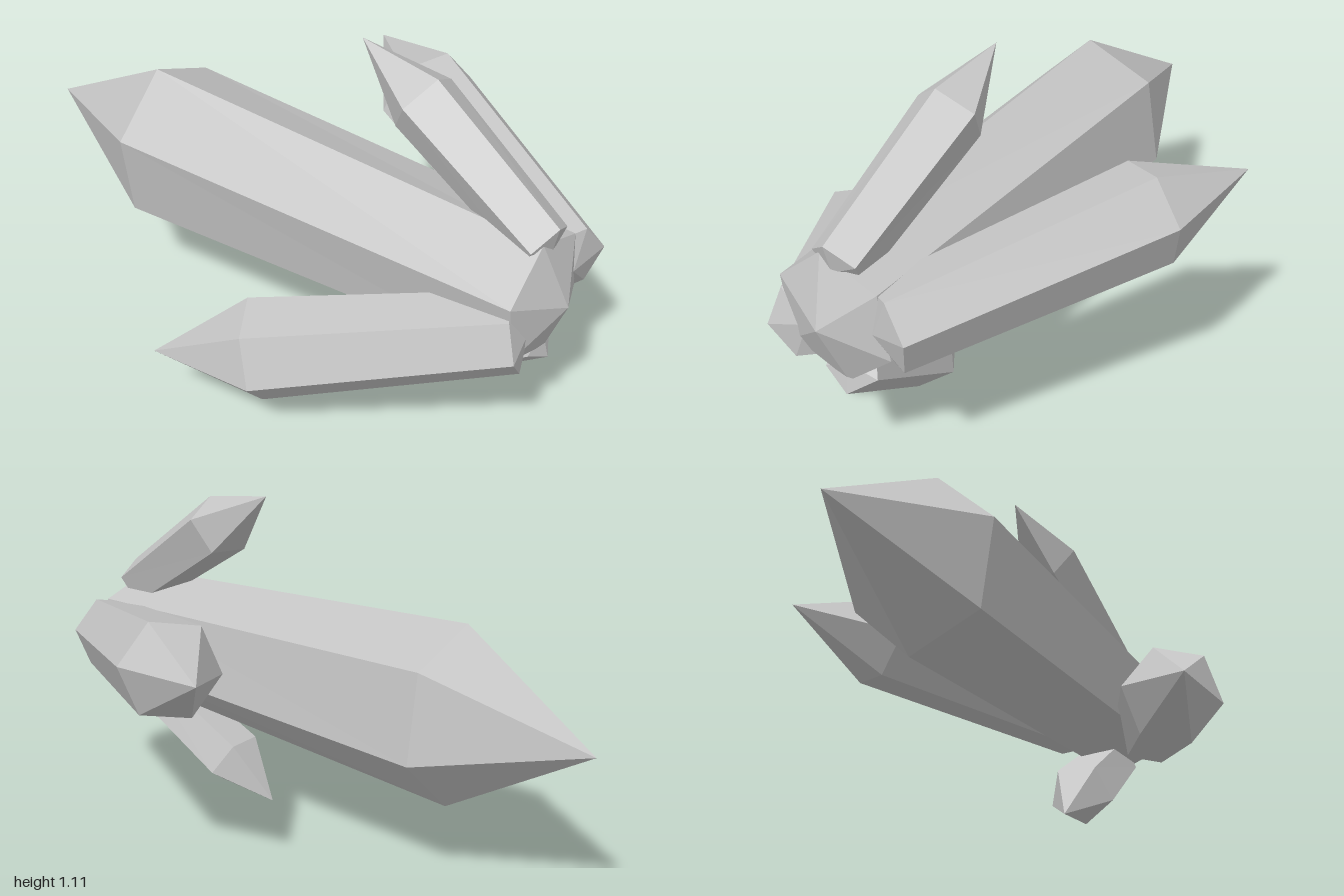
import * as THREE from 'three';

const V = (p) => new THREE.Vector3(...p);

// Faceted crystal: blunt base point, base ring, shoulder ring, long tip.
// "toward" points from the axis to the first corner; radii are [along it, across it].
function crystalGeometry({ sides, base, shoulder, tip, toward, baseR, shoulderR, cap, turn = 0 }) {
  const b = V(base), s = V(shoulder), t = V(tip);
  const axis = t.clone().sub(b).normalize();
  const u = V(toward);
  u.addScaledVector(axis, -u.dot(axis)).normalize();
  const v = axis.clone().cross(u);
  const ring = (c, [ru, rv]) => Array.from({ length: sides }, (_, i) => {
    const a = turn + (i / sides) * Math.PI * 2;
    return c.clone().addScaledVector(u, Math.cos(a) * ru).addScaledVector(v, Math.sin(a) * rv);
  });
  const lower = ring(b, baseR), upper = ring(s, shoulderR);
  const foot = b.clone().addScaledVector(axis, -cap);
  const points = [];
  for (let i = 0; i < sides; i++) {
    const j = (i + 1) % sides;
    points.push(foot, lower[j], lower[i]);
    points.push(lower[i], lower[j], upper[j], lower[i], upper[j], upper[i]);
    points.push(upper[i], upper[j], t);
  }
  const geometry = new THREE.BufferGeometry().setFromPoints(points);
  geometry.computeVertexNormals();
  return geometry;
}

const crystals = [
  { name: 'mainCrystal', sides: 6, base: [-0.05, 0.53, 0.92], shoulder: [-0.063, 0.527, -0.5],
    tip: [-0.05, 0.53, -1], toward: [0, 1, 0], turn: -Math.PI / 18,
    baseR: [0.207, 0.207], shoulderR: [0.285, 0.248], cap: 0.08 },
  { name: 'upperCrystal', sides: 5, base: [-0.04, 0.7, 0.9], shoulder: [0.01, 0.98, 0.44],
    tip: [0.015, 1.11, 0.22], toward: [-0.01, 0.095, 0.05],
    baseR: [0.09, 0.09], shoulderR: [0.108, 0.114], cap: 0.03 },
  { name: 'leftCrystal', sides: 6, base: [0.115, 0.545, 0.9], shoulder: [0.505, 0.665, 0.145],
    tip: [0.67, 0.72, -0.15], toward: [0.035, 0.15, 0.055],
    baseR: [0.13, 0.13], shoulderR: [0.163, 0.163], cap: 0.04 },
  { name: 'rightCrystal', sides: 6, base: [-0.165, 0.465, 0.9], shoulder: [-0.52, 0.295, 0.235],
    tip: [-0.667, 0.243, -0.04], toward: [-0.15, -0.03, 0.085],
    baseR: [0.125, 0.125], shoulderR: [0.16, 0.16], cap: 0.04 },
  { name: 'lowerCrystal', sides: 5, base: [-0.02, 0.365, 0.89], shoulder: [-0.08, 0.12, 0.49],
    tip: [-0.1, 0, 0.32], toward: [0.01, -0.085, 0.058],
    baseR: [0.09, 0.09], shoulderR: [0.105, 0.11], cap: 0.03 },
];

export function createModel() {
  const group = new THREE.Group();
  group.name = 'crystalCluster';
  const material = new THREE.MeshStandardMaterial({ color: 0xc4c4c4 });
  material.name = 'greyCrystal';
  for (const spec of crystals) {
    const mesh = new THREE.Mesh(crystalGeometry(spec), material);
    mesh.name = spec.name;
    group.add(mesh);
  }
  return group;
}
